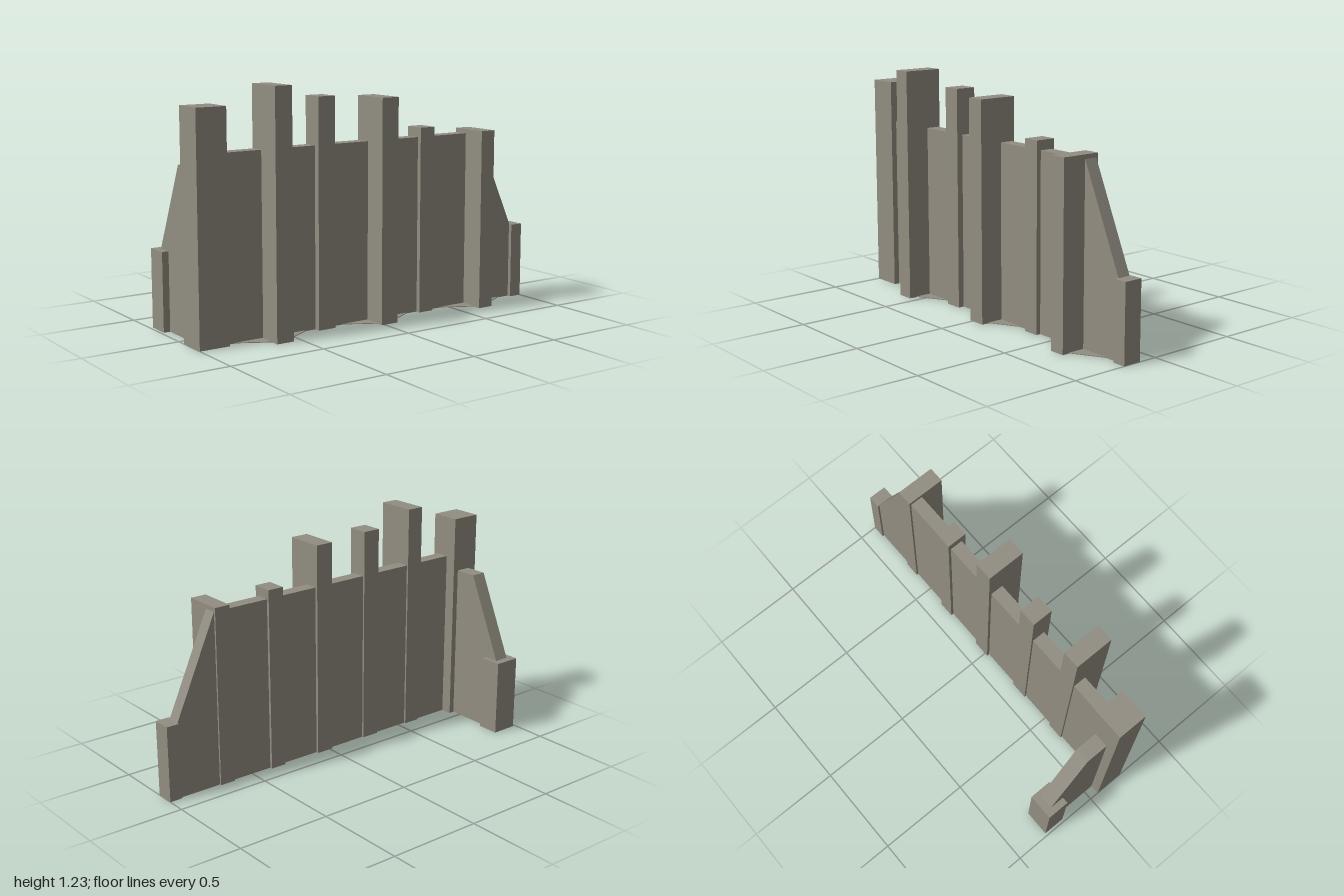
import * as THREE from 'three';

export function createModel() {
  const group = new THREE.Group();
  group.name = 'ruinedWall';
  const stone = new THREE.MeshStandardMaterial({ color: 0x928e82 });
  stone.name = 'stone';

  function add(name, geometry) {
    const mesh = new THREE.Mesh(geometry, stone);
    mesh.name = name;
    group.add(mesh);
    return mesh;
  }

  // Square post standing on the ground
  function post(name, x0, x1, z0, z1, height) {
    const mesh = add(name, new THREE.BoxGeometry(x1 - x0, height, z1 - z0));
    mesh.position.set((x0 + x1) / 2, height / 2, (z0 + z1) / 2);
  }

  // Outline extruded by a given depth
  function slab(name, points, depth) {
    const shape = new THREE.Shape(points.map(([x, y]) => new THREE.Vector2(x, y)));
    return add(name, new THREE.ExtrudeGeometry(shape, { depth, bevelEnabled: false }));
  }

  // Long wall with a broken, sloping left end
  slab('longWall', [[-0.86, 0], [0.94, 0], [0.94, 0.385], [0.7, 0.92], [-0.86, 0.92]], 0.07)
    .position.z = 0.11;

  // Short return wall running back from the corner
  const returnWall = slab('returnWall',
    [[-0.07, 0], [0.29, 0], [0.29, 0.365], [0.27, 0.405], [0.07, 0.845], [-0.07, 0.845]], 0.08);
  returnWall.rotation.y = Math.PI / 2;
  returnWall.position.x = -0.95;

  // Corner and end posts
  post('cornerPost', -1, -0.84, 0.05, 0.21, 1.14);
  post('leftEndPost', 0.93, 1, 0.1, 0.2, 0.4);
  post('returnEndPost', -0.985, -0.845, -0.31, -0.19, 0.405);

  // Deep buttresses, shallow pilasters between them
  const posts = [
    ['buttress', -0.638, -0.545, 0.1, 0.31, 1.23],
    ['pilaster', -0.335, -0.238, 0.1, 0.212, 1.16],
    ['buttress', -0.018, 0.08, 0.095, 0.304, 1.145],
    ['pilaster', 0.297, 0.385, 0.095, 0.204, 0.97],
    ['buttress', 0.615, 0.7, 0.1, 0.31, 0.942],
  ];
  for (const p of posts) post(...p);

  // Flat triangular footings at the buttresses
  for (const x of [-0.591, 0.031, 0.658]) {
    const footing = slab('footing', [[-0.2, 0], [0, -0.112], [0.2, 0]], 0.004);
    footing.rotation.x = -Math.PI / 2;
    footing.position.set(x, 0, 0.18);
  }

  return group;
}
